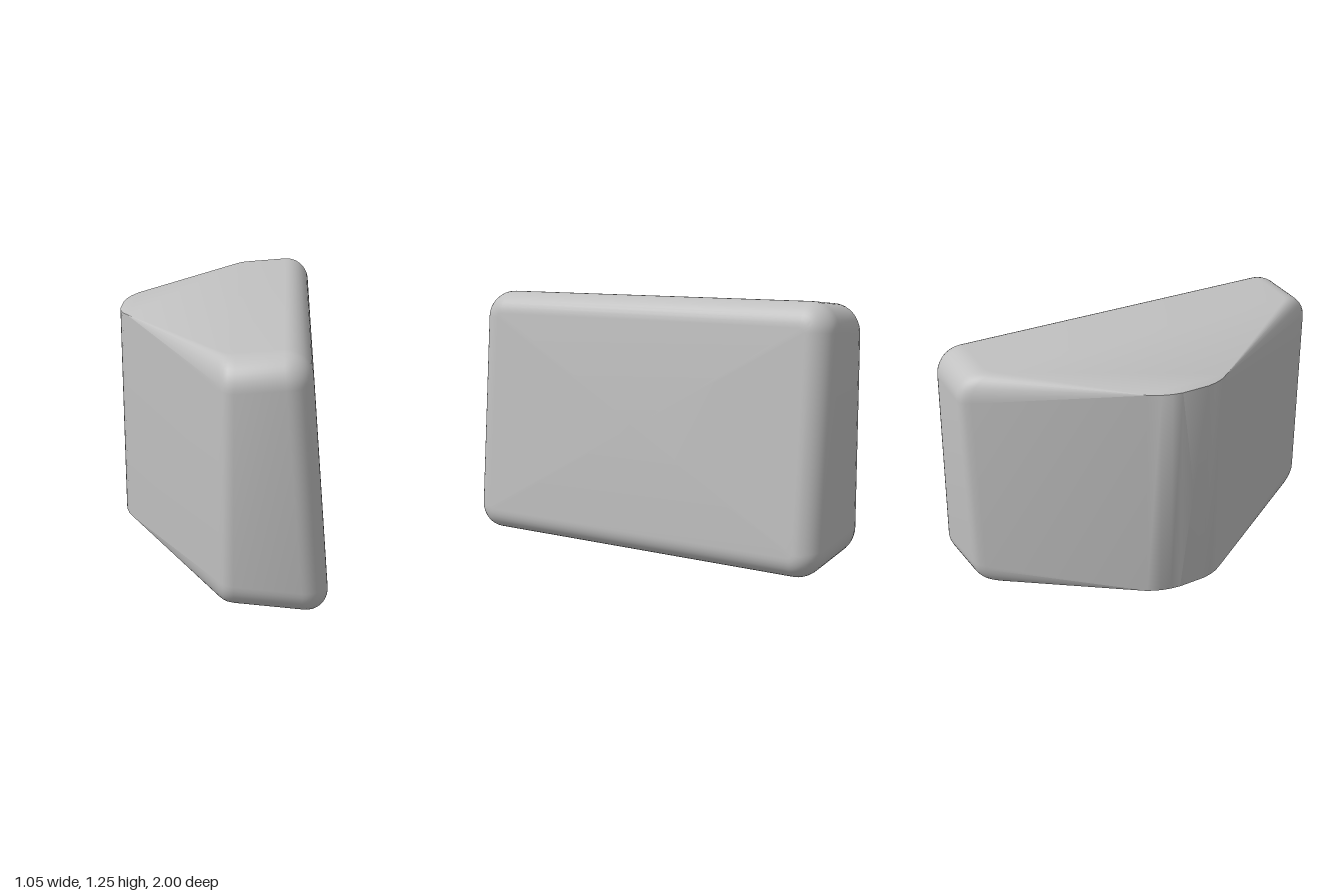
import * as THREE from 'three';
import { toCreasedNormals } from 'three/addons/utils/BufferGeometryUtils.js';

const CORNER_STEPS = 10;
const CAP_STEPS = 10;

// Sections along x: [x, back z, front z, corner radius]
function buildSections() {
  const sections = [
    [-0.526, -0.14, 0.0, 0.002],
    [-0.518, -0.19, 0.045, 0.002],
    [-0.502, -0.24, 0.09, 0.002],
    [-0.47, -0.3, 0.14, 0.002],
    [0.025, -0.955, 0.95, 0.13],
    [0.045, -0.978, 0.977, 0.135],
    [0.065, -0.993, 0.993, 0.138],
    [0.095, -1, 1, 0.14],
    [0.36, -1, 1, 0.14],
  ].map(([x, back, front, r]) => ({ x, back, front, r, inset: 0 }));
  // rounded rim around the broad face
  for (let i = 1; i <= CAP_STEPS; i++) {
    const a = (i / CAP_STEPS) * Math.PI / 2;
    const inset = 0.12 * (1 - Math.cos(a));
    sections.push({ x: 0.36 + 0.12 * Math.sin(a), back: -1, front: 1, r: 0.14 - inset, inset });
  }
  return sections;
}

// Rounded rectangle in y and z, leaning back near the broad face
function ringPoints({ x, back, front, r, inset }) {
  const top = 1.185 + (x + 0.525) * 0.0735 - inset;
  const bottom = 0.085 - (x + 0.525) * 0.096 + inset;
  const lean = 0.089 * THREE.MathUtils.clamp((x - 0.095) / 0.265, 0, 1);
  const points = [];
  for (let k = 0; k < 4; k++) {
    const cy = k === 0 || k === 3 ? top - r : bottom + r;
    const cz = k < 2 ? front - inset - r : back + inset + r;
    for (let j = 0; j <= CORNER_STEPS; j++) {
      const a = (k + j / CORNER_STEPS) * Math.PI / 2;
      const y = cy + r * Math.cos(a);
      points.push([x - (y - 0.625) * lean, y, cz + r * Math.sin(a)]);
    }
  }
  return points;
}

function loftGeometry() {
  const rings = buildSections().map(ringPoints);
  const n = rings[0].length;
  const positions = rings.flat(2);
  const index = [];
  for (let i = 0; i < rings.length - 1; i++) {
    for (let j = 0; j < n; j++) {
      const a = i * n + j;
      const b = i * n + ((j + 1) % n);
      index.push(a, b, a + n, b, b + n, a + n);
    }
  }
  // close the nose strip and the broad face
  const close = (ringIndex, flip) => {
    const centre = positions.length / 3;
    for (let c = 0; c < 3; c++) {
      positions.push(rings[ringIndex].reduce((sum, p) => sum + p[c], 0) / n);
    }
    for (let j = 0; j < n; j++) {
      const a = ringIndex * n + j;
      const b = ringIndex * n + ((j + 1) % n);
      index.push(centre, flip ? b : a, flip ? a : b);
    }
  };
  close(0, true);
  close(rings.length - 1, false);

  const geometry = new THREE.BufferGeometry();
  geometry.setAttribute('position', new THREE.Float32BufferAttribute(positions, 3));
  geometry.setIndex(index);
  return toCreasedNormals(geometry, 0.6);
}

export function createModel() {
  const group = new THREE.Group();
  group.name = 'roundedWedge';
  const grey = new THREE.MeshStandardMaterial({ color: 0xc0c0c0 });
  grey.name = 'light grey';
  const body = new THREE.Mesh(loftGeometry(), grey);
  body.name = 'wedgeBody';
  group.add(body);
  return group;
}
